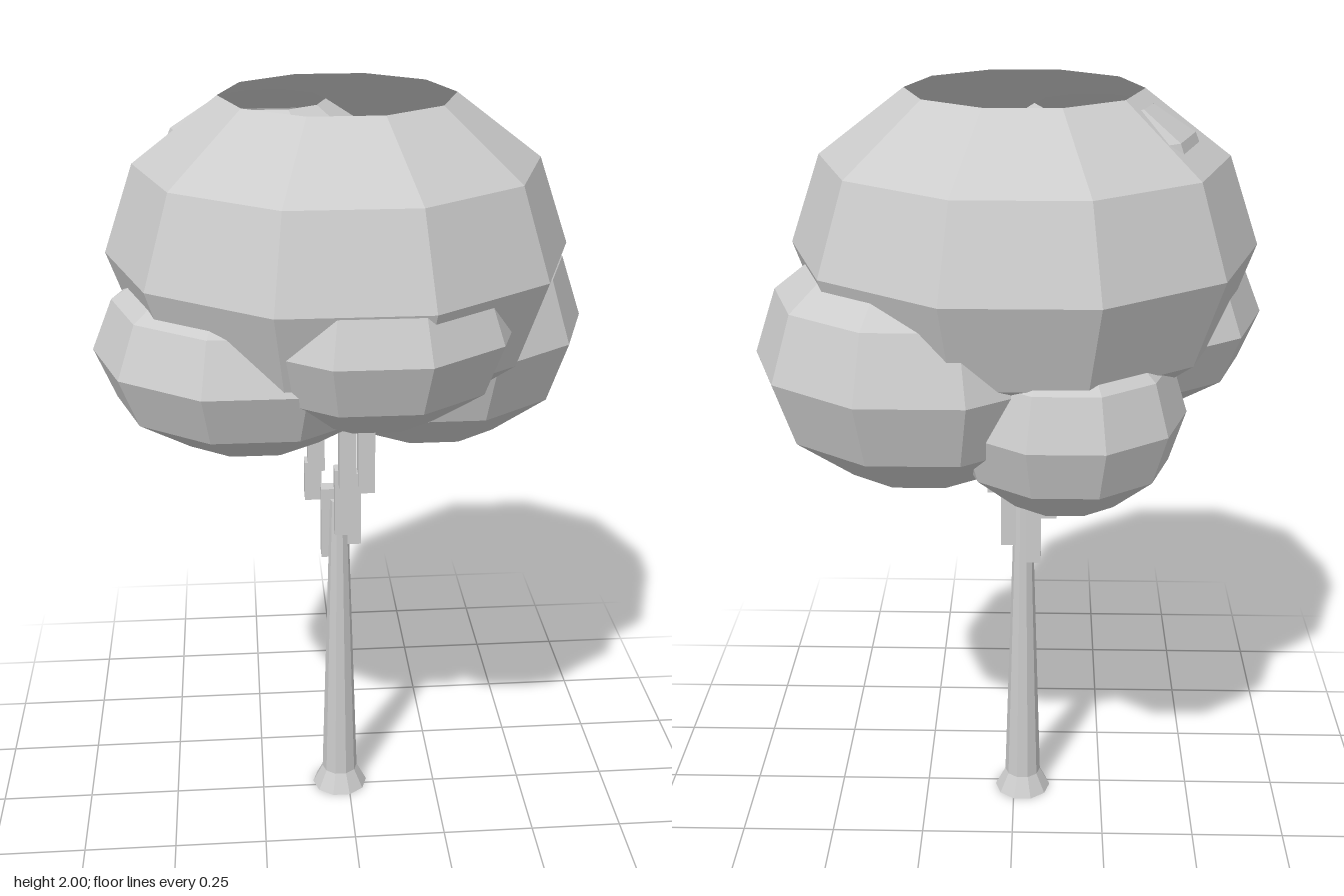
import * as THREE from 'three';

export function createModel() {
  const tree = new THREE.Group();
  tree.name = 'tree';
  const grey = new THREE.MeshStandardMaterial({ color: 0xcccccc, flatShading: true, side: THREE.DoubleSide });
  grey.name = 'light grey';

  function add(geometry, name, x, y, z, parent = tree) {
    const mesh = new THREE.Mesh(geometry, grey);
    mesh.name = name;
    mesh.position.set(x, y, z);
    parent.add(mesh);
    return mesh;
  }

  // Foliage: ten-sided shells, open at the top and bottom
  const shell = new THREE.SphereGeometry(1, 10, 4, 0, Math.PI * 2, Math.PI / 6, Math.PI * 2 / 3);
  const foliage = [
    // name, x, y, z, radius, half height
    ['mainFoliage', -0.025, 1.62, -0.02, 0.58, 0.439],
    ['rightSideFoliage', -0.25, 1.41, 0.10, 0.39, 0.254],
    ['leftSideFoliage', 0.223, 1.38, -0.165, 0.412, 0.323],
    ['frontFoliage', 0.033, 1.51, 0.225, 0.36, 0.255],
    ['backFoliage', -0.13, 1.27, -0.27, 0.295, 0.252],
    ['topFoliage', -0.19, 1.82, -0.09, 0.28, 0.18],
  ];
  for (const [name, x, y, z, r, h] of foliage) add(shell, name, x, y, z).scale.set(r, h, r);

  // Trunk: flared foot and long tapering shaft
  const profile = [[0, 0], [0.078, 0], [0.05, 0.055], [0.024, 0.92], [0, 0.92]];
  const trunk = new THREE.LatheGeometry(profile.map(([r, y]) => new THREE.Vector2(r, y)), 10, Math.PI / 2);
  add(trunk, 'trunk', -0.025, 0, -0.02);

  // Branches: upright square pieces stepping outward, as [x, z, bottom, top]
  const branches = {
    rightBranch: [[-0.053, -0.04, 0.745, 0.95], [-0.092, -0.085, 0.9, 1.01], [-0.083, -0.076, 0.99, 1.18]],
    leftBranch: [[0.014, -0.024, 0.79, 1.0], [0.048, -0.02, 0.945, 1.15]],
    frontBranch: [[-0.02, 0.018, 0.84, 1.03], [-0.008, 0.058, 0.995, 1.17]],
  };
  for (const [name, pieces] of Object.entries(branches)) {
    const branch = new THREE.Group();
    branch.name = name;
    tree.add(branch);
    pieces.forEach(([x, z, bottom, top], i) => {
      const width = i ? 0.045 : 0.04;
      add(new THREE.BoxGeometry(width, top - bottom, width), 'branchPiece', x, (bottom + top) / 2, z, branch);
    });
  }
  return tree;
}
